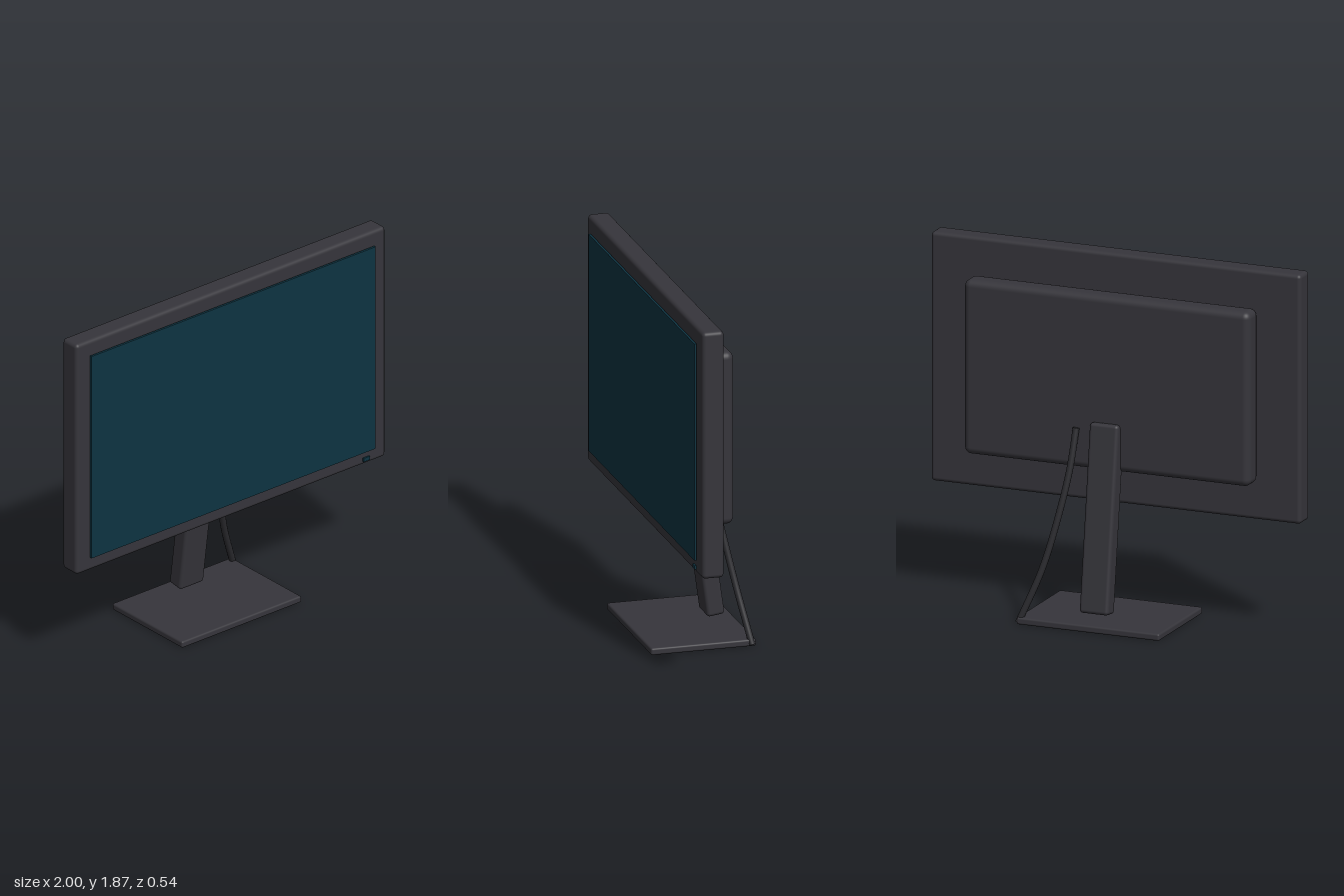
import * as THREE from 'three';
import { RoundedBoxGeometry } from 'three/addons/geometries/RoundedBoxGeometry.js';

function material(name, color) {
  const m = new THREE.MeshStandardMaterial({ color });
  m.name = name;
  return m;
}

export function createModel() {
  const model = new THREE.Group();
  model.name = 'monitor';

  const casing = material('charcoal casing', 0x36353b);
  const rubber = material('black rubber', 0x2b2b2f);
  const glass = material('dark teal glass', 0x0d3341);

  function add(name, geometry, mat, position = [0, 0, 0]) {
    const mesh = new THREE.Mesh(geometry, mat);
    mesh.name = name;
    mesh.position.set(...position);
    model.add(mesh);
    return mesh;
  }
  const rounded = (w, h, d, r) => new RoundedBoxGeometry(w, h, d, 4, r);

  // Display: frame, thin screen plate in front, and raised rear housing
  add('displayFrame', rounded(2, 1.286, 0.112, 0.02), casing, [0, 1.238, 0.133]);
  add('screen', new THREE.BoxGeometry(1.836, 1.13, 0.012), glass, [0, 1.237, 0.202]);
  add('rearHousing', rounded(1.546, 0.9, 0.122, 0.036), casing, [0, 1.24, 0.017]);
  add('powerLight', new THREE.BoxGeometry(0.04, 0.02, 0.014), glass, [0.87, 0.625, 0.191]);

  // Stand: leaning neck above a flat foot
  add('standNeck', rounded(0.156, 0.957, 0.092, 0.018), casing, [0, 0.56, -0.093]).rotation.x = 0.137;
  add('base', rounded(0.772, 0.036, 0.544, 0.01), casing, [0, 0.033, 0]);

  // Cable sagging from the rear housing to the back corner of the foot
  const radius = 0.017;
  const path = new THREE.CatmullRomCurve3([
    [0.155, 1.0, -0.057], [0.17, 0.8, -0.1], [0.205, 0.59, -0.144],
    [0.275, 0.3, -0.2], [0.382, 0.022, -0.252],
  ].map((p) => new THREE.Vector3(...p)));
  add('cable', new THREE.TubeGeometry(path, 40, radius, 12), rubber);
  for (const [t, sign] of [[0, -1], [1, 1]]) {
    const end = path.getPointAt(t);
    const cap = add('cableEnd', new THREE.CircleGeometry(radius, 12), rubber, end.toArray());
    cap.quaternion.setFromUnitVectors(new THREE.Vector3(0, 0, 1), path.getTangentAt(t).multiplyScalar(sign));
  }

  return model;
}
